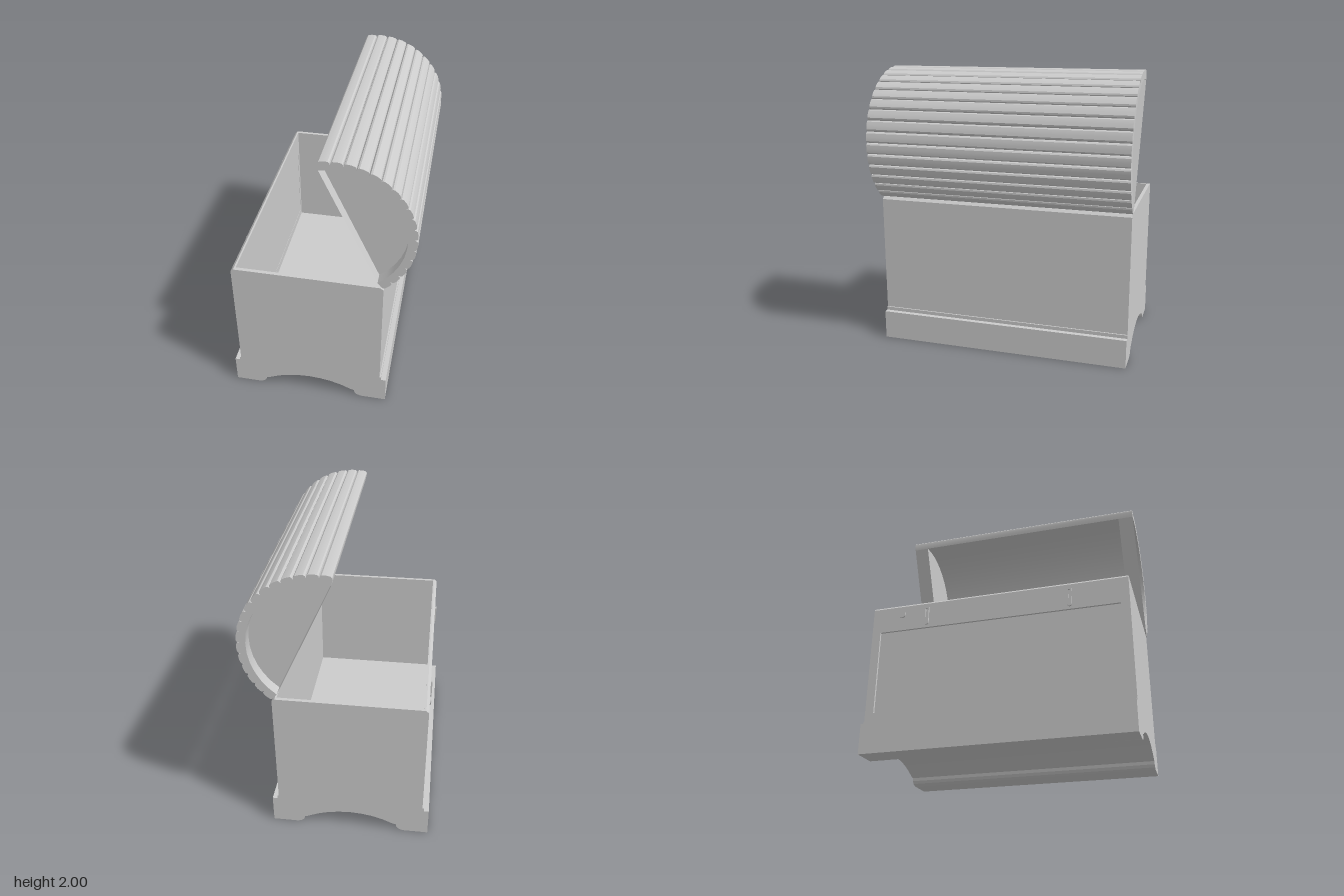
import * as THREE from 'three';
import { toCreasedNormals } from 'three/addons/utils/BufferGeometryUtils.js';

const material = new THREE.MeshStandardMaterial({ color: 0xcccccc });
const doubleSided = new THREE.MeshStandardMaterial({ color: 0xcccccc, side: THREE.DoubleSide });

const shapeOf = (pts) => new THREE.Shape(pts.map(([x, y]) => new THREE.Vector2(x, y)));

export function createModel() {
  const chest = new THREE.Group();
  chest.name = 'chest';

  const add = (name, geometry, parent, mat = material) => {
    const mesh = new THREE.Mesh(geometry, mat);
    mesh.name = name;
    parent.add(mesh);
    return mesh;
  };
  // Extrude an x-y profile from z0 to z1
  const extrudeZ = (shape, z0, z1) => {
    const g = new THREE.ExtrudeGeometry(shape, { depth: z1 - z0, bevelEnabled: false, curveSegments: 12 });
    g.translate(0, 0, z0);
    return toCreasedNormals(g, 0.4);
  };
  const box = (x0, x1, y0, y1, z0, z1) =>
    new THREE.BoxGeometry(x1 - x0, y1 - y0, z1 - z0)
      .translate((x0 + x1) / 2, (y0 + y1) / 2, (z0 + z1) / 2);

  // Plinth with an arch running through its whole length
  const base = new THREE.Group();
  base.name = 'base';
  chest.add(base);
  const mid = -0.078;
  const arch = [[0.375, 0], [0.345, 0.012], [0.33, 0.03], [0.326, 0.052], [0.305, 0.056],
    [0.23, 0.09], [0.155, 0.113], [0.08, 0.126], [0, 0.131]];
  const underside = [
    ...arch.map(([x, y]) => [mid - x, y]),
    ...arch.slice(0, -1).reverse().map(([x, y]) => [mid + x, y]),
  ];
  add('plinth', extrudeZ(shapeOf([[-0.63, 0], ...underside, [0.475, 0], [0.475, 0.205], [-0.63, 0.205]]),
    -0.905, 0.905), base);
  add('plinthMoulding', box(-0.595, 0.44, 0.2, 0.23, -0.905, 0.905), base);

  // Open body with chamfered upper edges
  const body = new THREE.Group();
  body.name = 'body';
  chest.add(body);
  const L = -0.585, R = 0.43, top = 1.08, c = 0.018, Z = 0.905;
  const endProfile = shapeOf([[L, 0.2], [R, 0.2], [R, top - c], [R - c, top], [L + c, top], [L, top - c]]);
  for (const s of [1, -1]) {
    add(s > 0 ? 'leftEndWall' : 'rightEndWall',
      extrudeZ(endProfile, s > 0 ? Z - 0.025 : -Z, s > 0 ? Z : -Z + 0.025), body);
  }
  add('hingeWall', extrudeZ(shapeOf([[R - 0.03, 0.2], [R, 0.2], [R, top - c], [R - c, top], [R - 0.03, top]]),
    -0.88, 0.88), body);
  add('latchRail', extrudeZ(shapeOf([[L, 0.88], [L + 0.03, 0.88], [L + 0.03, top], [L + c, top], [L, top - c]]),
    -0.88, 0.88), body);
  add('lowerRail', box(L, L + 0.03, 0.2, 0.29, -0.88, 0.88), body);
  for (const s of [1, -1]) {
    const a = s * 0.845, b = s * 0.88;
    add('latchWallStile', box(L, L + 0.03, 0.29, 0.88, Math.min(a, b), Math.max(a, b)), body);
  }
  add('recessedPanel', box(L + 0.015, L + 0.028, 0.28, 0.89, -0.85, 0.85), body);

  // Hardware on the latch wall
  const latchShape = new THREE.Shape();
  latchShape.absarc(0, 0.055, 0.016, 0, Math.PI, false);
  latchShape.absarc(0, -0.055, 0.016, Math.PI, Math.PI * 2, false);
  const slot = new THREE.Path();
  slot.absarc(0, 0.045, 0.007, 0, Math.PI, false);
  slot.absarc(0, -0.01, 0.007, Math.PI, Math.PI * 2, false);
  latchShape.holes.push(slot);
  for (const z of [-0.5, 0.51]) {
    const latch = add('latch', new THREE.ExtrudeGeometry(latchShape,
      { depth: 0.012, bevelEnabled: false, curveSegments: 8 }), body);
    latch.rotation.y = -Math.PI / 2;
    latch.position.set(L + 0.001, 0.97, z);
  }
  const disc = add('lockPlate', new THREE.CylinderGeometry(0.025, 0.025, 0.012, 16), body);
  disc.rotation.z = Math.PI / 2;
  disc.position.set(L - 0.004, 1.0, -0.685);

  // Barrel lid, swung open
  const lid = new THREE.Group();
  lid.name = 'lid';
  chest.add(lid);
  const cx = 0.11, cy = 1.485, inner = 0.455, a0 = 101, a1 = -52, staves = 17;
  const polar = (deg, r) => {
    const a = THREE.MathUtils.degToRad(deg);
    return [cx + r * Math.cos(a), cy + r * Math.sin(a)];
  };
  const innerArc = [];
  for (let i = 0; i <= staves; i++) innerArc.push(polar(a1 + (a0 - a1) * i / staves, inner));

  // Rounded staves around the barrel
  const bump = [[0, 0.493], [0.05, 0.507], [0.17, 0.514], [0.5, 0.516], [0.83, 0.514], [0.95, 0.507]];
  const outer = [];
  for (let i = 0; i < staves; i++) {
    for (const [t, r] of bump) outer.push(polar(a0 + (a1 - a0) * (i + t) / staves, r));
  }
  outer.push(polar(a1, 0.493));
  add('staves', extrudeZ(shapeOf([...outer, ...innerArc]), -0.91, 0.91), lid);

  // Recessed end panels and the thin strips closing their straight edges
  const [lowX, lowY] = innerArc[0], [highX, highY] = innerArc[staves];
  for (const s of [1, -1]) {
    const a = s * 0.8, b = s * 0.83;
    add(s > 0 ? 'leftLidPanel' : 'rightLidPanel',
      extrudeZ(shapeOf(innerArc), Math.min(a, b), Math.max(a, b)), lid);
    const strip = add('lidEdgeStrip',
      new THREE.PlaneGeometry(Math.hypot(highX - lowX, highY - lowY), 0.08), lid, doubleSided);
    strip.geometry.rotateX(-Math.PI / 2);
    strip.rotation.z = Math.atan2(highY - lowY, highX - lowX);
    strip.position.set((lowX + highX) / 2, (lowY + highY) / 2, s * 0.87);
  }

  chest.updateMatrixWorld(true);
  return chest;
}
